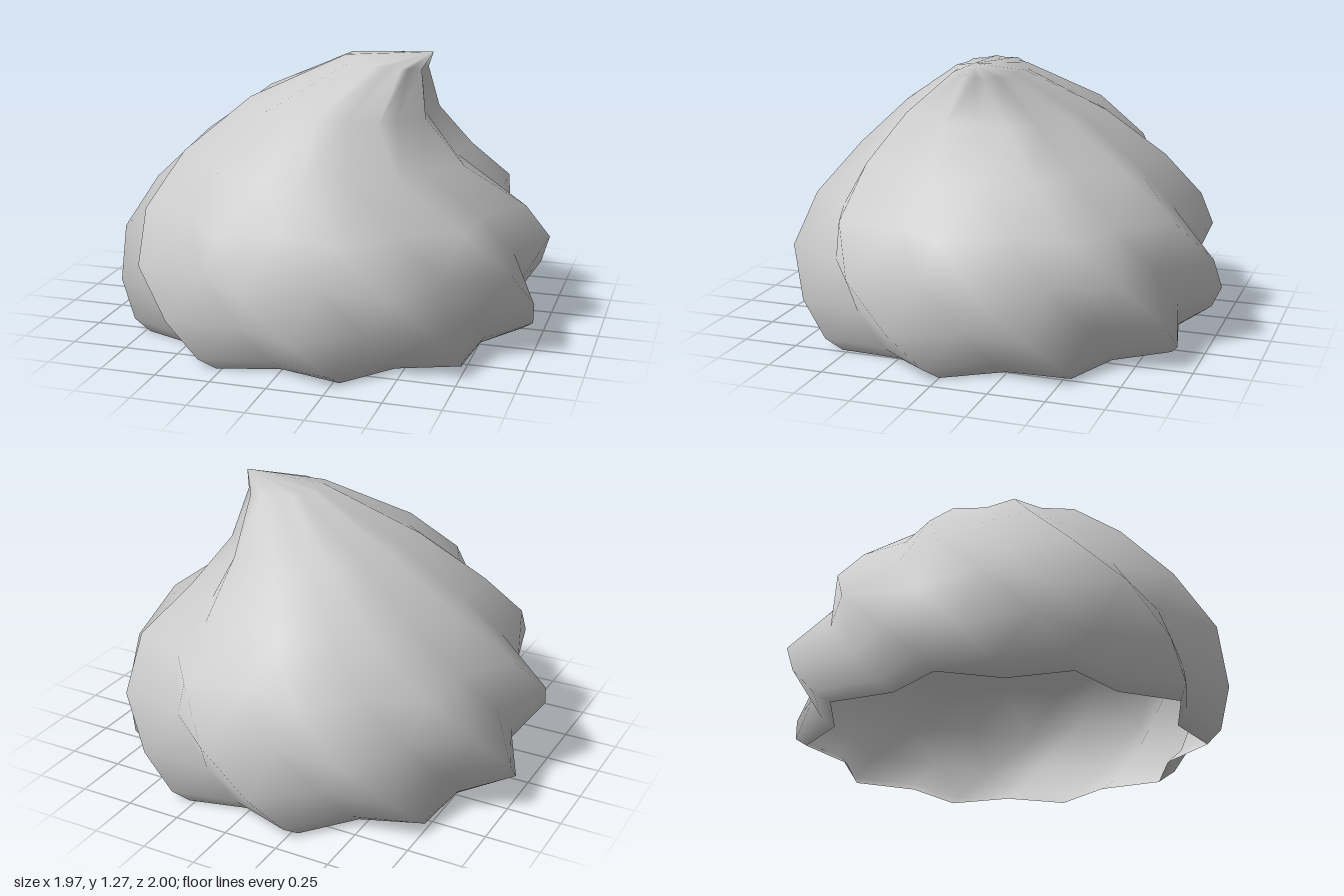
import * as THREE from 'three';

// Twisted ten-lobed swirl, leaning to +x at the tip, open underneath
const LOBES = 10;
const SIDES = LOBES * 2; // alternating crest and groove

// Cross-sections: height, crest radius in x and z, centre x, twist in degrees, tilt
const RINGS = [
  { y: 0.0, rx: 0.9, rz: 0.9, cx: 0, twist: 18, tilt: 0 },
  { y: 0.05, rx: 0.96, rz: 0.96, cx: 0, twist: 15, tilt: 0 },
  { y: 0.195, rx: 1.005, rz: 1.005, cx: 0, twist: 6.3, tilt: 0 },
  { y: 0.39, rx: 1.005, rz: 1.005, cx: 0, twist: -6.3, tilt: 0 },
  { y: 0.59, rx: 0.9, rz: 0.9, cx: 0, twist: -18, tilt: 0 },
  { y: 0.8, rx: 0.67, rz: 0.725, cx: -0.02, twist: -28, tilt: 0.015 },
  { y: 1.02, rx: 0.43, rz: 0.48, cx: 0.05, twist: -35, tilt: 0.03 },
  { y: 1.22, rx: 0.19, rz: 0.165, cx: 0.245, twist: -40, tilt: 0.025 },
];
const TIP = [0.46, 1.27, 0];
const GROOVE = 0.87; // groove radius relative to crest

function swirlGeometry() {
  const positions = [];
  const index = [];
  for (const r of RINGS) {
    for (let i = 0; i < SIDES; i++) {
      const a = THREE.MathUtils.degToRad(r.twist + (i * 360) / SIDES);
      const k = i % 2 ? GROOVE : 1;
      const s = k * Math.sin(a);
      positions.push(r.cx + r.rx * s, r.y - r.tilt * s, r.rz * k * Math.cos(a));
    }
  }
  positions.push(...TIP);
  const tip = RINGS.length * SIDES;

  for (let j = 0; j < RINGS.length; j++) {
    for (let i = 0; i < SIDES; i++) {
      const a = j * SIDES + i;
      const b = j * SIDES + ((i + 1) % SIDES);
      if (j === RINGS.length - 1) index.push(a, b, tip);
      else index.push(a, b, b + SIDES, a, b + SIDES, a + SIDES);
    }
  }
  const g = new THREE.BufferGeometry();
  g.setAttribute('position', new THREE.Float32BufferAttribute(positions, 3));
  g.setIndex(index);
  g.computeVertexNormals();
  return g;
}

export function createModel() {
  const group = new THREE.Group();
  group.name = 'creamSwirl';
  const material = new THREE.MeshStandardMaterial({ color: 0xcccccc, side: THREE.DoubleSide });
  const swirl = new THREE.Mesh(swirlGeometry(), material);
  swirl.name = 'swirl';
  group.add(swirl);
  return group;
}
